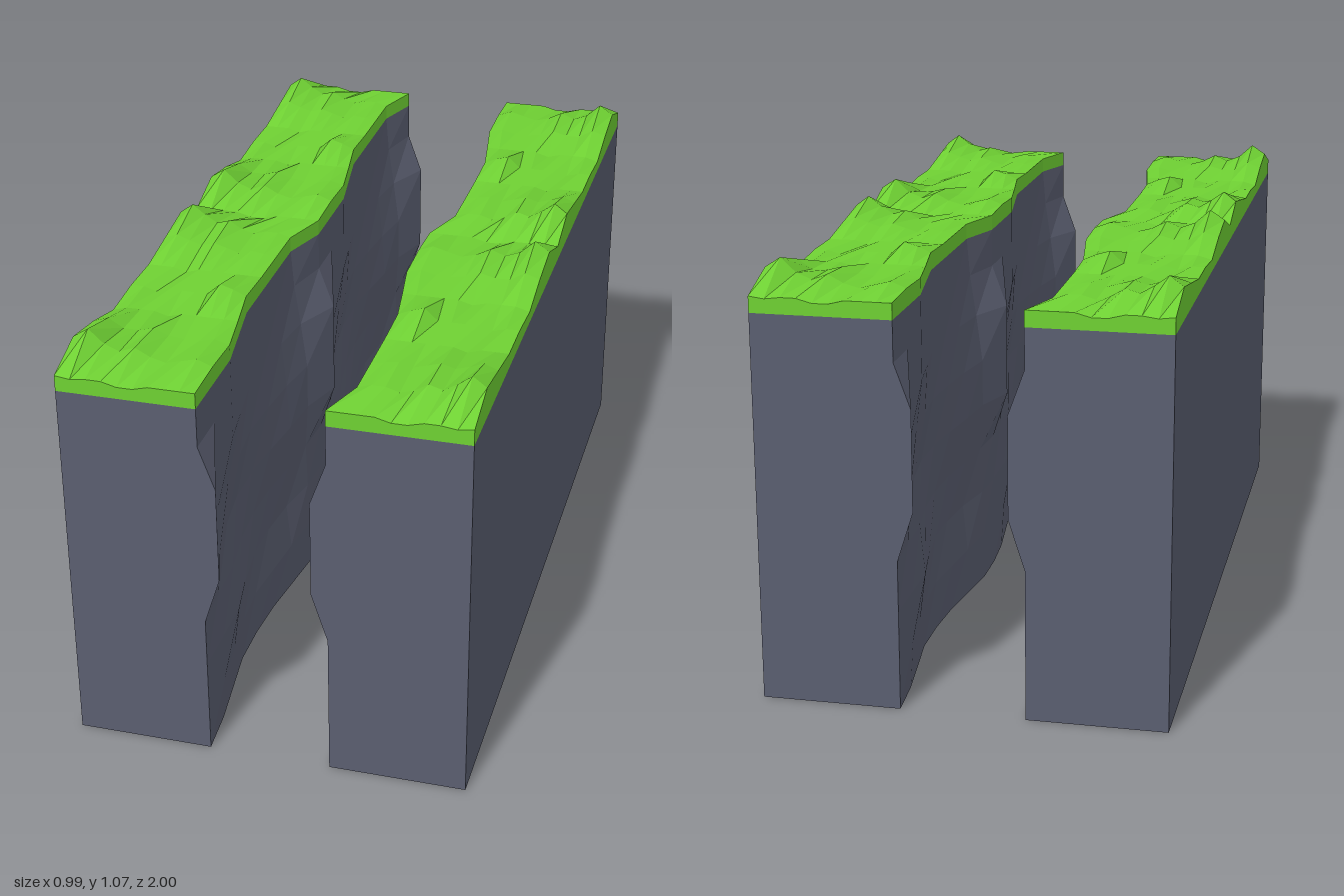
import * as THREE from 'three';

const OUTER = -0.495, INNER = -0.193;

// Heights of the wall's vertex rows
const LEVELS = [0, 0.125, 0.25, 0.375, 0.5, 0.625, 0.75, 0.86, 0.96];

// How far the rock bulges inwards (units of 0.04): one row per 1/8 along z, columns go up
const BULGE = [
  [1, 1, 1, 1, 2, 2, 2, 1, 1],
  [1, 1, 0.9, 0.8, 1, 1, 0.6, 0.2, 0],
  [0.6, 0.6, 0.3, 0.5, 0.7, 0.5, 0.2, 0, 0],
  [0.2, 0.3, 0, 0.1, 0.3, 0.2, 0, 0, 0],
  [0, 0, 0, 0, 0, 0, 0, 0, 0],
  [0, 0.2, 0.4, 0.2, 0, 0.3, 0.5, 0.5, 0.5],
  [0.4, 0.6, 1, 0.7, 0.4, 0.6, 1, 1, 1],
  [0.8, 1, 1, 0.8, 1, 1, 1, 1, 1],
];

// Turf height above 1 (units of 0.01): one row per 1/8 along z, columns go outer to inner
const TURF = [
  [0, -0.5, 0, 0, -1, -1, 0, 0, 0, 0],
  [4, 6.5, 4, 2, 3, 1, 0, 1, 1, 0],
  [2, 3.3, 2, 1, 2, 1, 0, 1, 0.5, 0],
  [0, 0, 0, -1, 0, 0, 0, 0, 0, 0],
  [0, 0, -1, 0, 0, 0, 0, 3, 2, 0.5],
  [-1, 0, 0, 0, -1, 0, 0, 0, 0, 0],
  [2, 3.3, 1, 1, 2, 0.5, 0, 0, 1, 0],
  [4, 6.5, 3, 1.5, 3, 1, 0, 1, 2, 0.5],
];

// A subdivided box whose vertices are moved by rule(i, j, k) -> [x, y, z]
function shapedBox(nx, ny, nz, rule) {
  const box = new THREE.BoxGeometry(1, 1, 1, nx, ny, nz);
  const p = box.attributes.position;
  const index = (v, n) => Math.round((v + 0.5) * n);
  for (let n = 0; n < p.count; n++) {
    p.setXYZ(n, ...rule(index(p.getX(n), nx), index(p.getY(n), ny), index(p.getZ(n), nz)));
  }
  const flat = box.toNonIndexed();
  flat.computeVertexNormals();
  return flat;
}

const innerX = (j, k) => INNER + 0.04 * BULGE[k % 8][j];
const material = (color) => new THREE.MeshStandardMaterial({ color, flatShading: true });

export function createModel() {
  const model = new THREE.Group();

  // Rock wall with a bulging inner face
  const rockGeometry = shapedBox(1, 8, 16, (i, j, k) =>
    [i ? innerX(j, k) : OUTER, LEVELS[j], -1 + k / 8]);

  // Turf slab with a lumpy top that follows the rock's upper edge
  const turfGeometry = shapedBox(9, 1, 16, (i, j, k) =>
    [THREE.MathUtils.lerp(OUTER, innerX(8, k), i / 9),
      j ? 1 + 0.01 * TURF[k % 8][i] : 0.96,
      -1 + k / 8]);

  const rockMaterial = material(0x5a5e70);
  const turfMaterial = material(0x6fd133);

  // The two cliffs face each other, one turned half round
  ['rightCliff', 'leftCliff'].forEach((name, n) => {
    const cliff = new THREE.Group();
    cliff.name = name;
    const rock = new THREE.Mesh(rockGeometry, rockMaterial);
    rock.name = 'rockWall';
    const turf = new THREE.Mesh(turfGeometry, turfMaterial);
    turf.name = 'grassTop';
    cliff.add(rock, turf);
    cliff.rotation.y = n * Math.PI;
    model.add(cliff);
  });

  return model;
}
